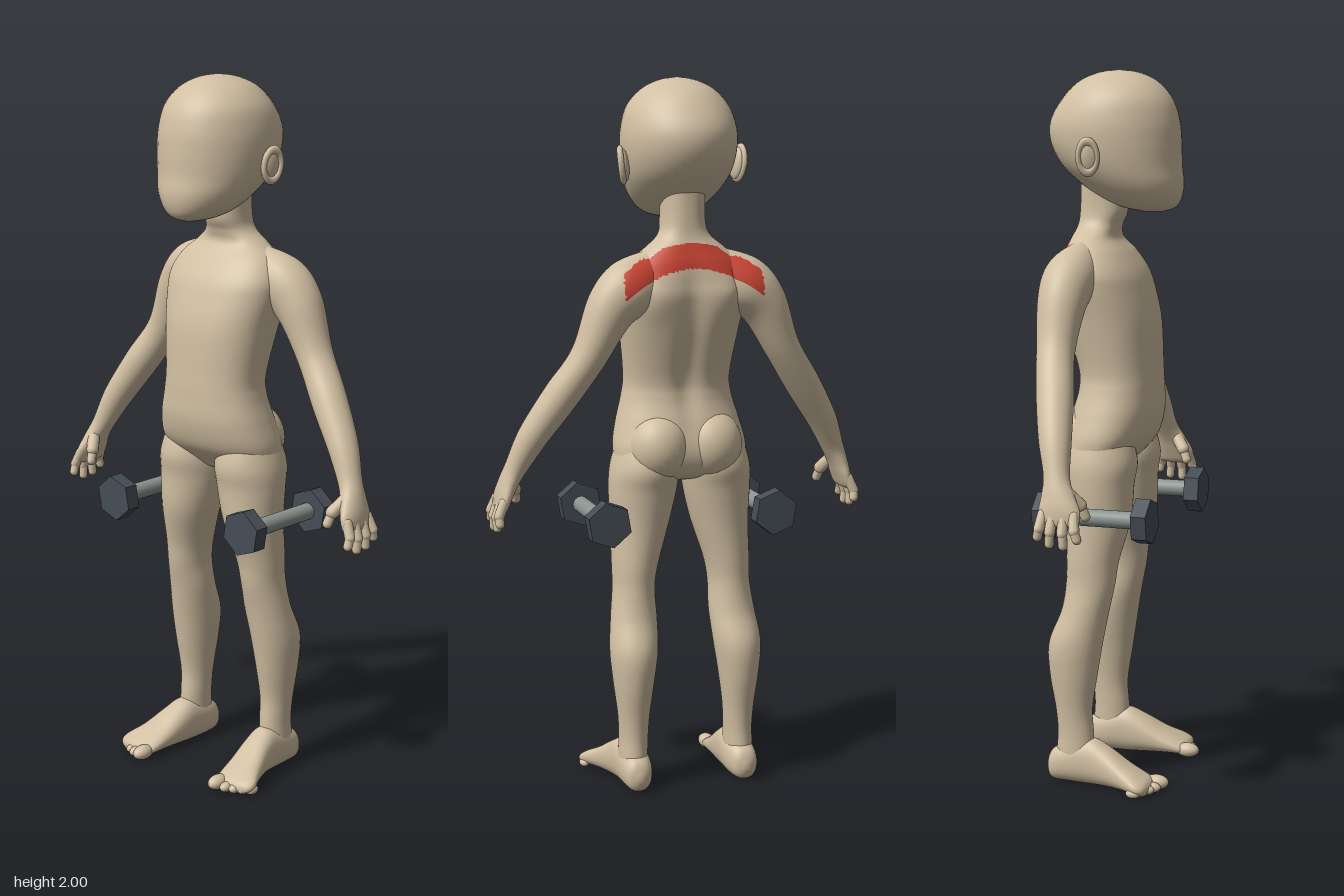
import * as THREE from 'three';

const flat = (name, color) => Object.assign(new THREE.MeshStandardMaterial({ color }), { name });
const skin = flat('skin', 0xd1bfa2);
const red = flat('redHighlight', 0xcb4433);
const steel = flat('handleGrey', 0x8a938f);
const iron = flat('weightSlate', 0x464d55);

// Smoothly resample rows of numbers
function resample(rows, steps) {
  const out = [], last = rows.length - 1;
  for (let i = 0; i <= last * steps; i++) {
    const k = Math.min(Math.floor(i / steps), last - 1), t = i / steps - k;
    const [p0, p1, p2, p3] = [-1, 0, 1, 2].map(o => rows[Math.min(last, Math.max(0, k + o))]);
    out.push(p1.map((b, c) => {
      const a = p0[c], d = p2[c], e = p3[c];
      return b + 0.5 * t * (d - a + t * (2 * a - 5 * b + 4 * d - e + t * (3 * (b - d) + e - a)));
    }));
  }
  return out;
}

// Loft of rings [x, y, z, halfWidth, halfDepth, tilt, pitch] (degrees), closed at both ends
function loft(rows, { steps = 6, seg = 36, power = 2, shape } = {}) {
  const rings = resample(rows.map(r => [...r, 0, 0].slice(0, 7)), steps);
  const pos = [], index = [], e = 2 / power, rad = Math.PI / 180;
  const pw = v => Math.sign(v) * Math.pow(Math.abs(v), e);
  for (const [x, y, z, a, b, tilt, pitch] of rings) {
    const t = tilt * rad, p = pitch * rad;
    for (let j = 0; j < seg; j++) {
      const ang = j / seg * Math.PI * 2, u = pw(Math.cos(ang)) * a, v = pw(Math.sin(ang)) * b;
      const pt = new THREE.Vector3(x + u * Math.cos(t), y + u * Math.sin(t) + v * Math.sin(p), z + v * Math.cos(p));
      if (shape) shape(pt, z);
      pos.push(pt.x, pt.y, pt.z);
    }
  }
  const n = rings.length, first = n * seg, end = first + 1;
  pos.push(...rings[0].slice(0, 3), ...rings[n - 1].slice(0, 3));
  for (let j = 0; j < seg; j++) {
    const k = (j + 1) % seg;
    for (let i = 0; i < n - 1; i++) {
      const a = i * seg + j, b = i * seg + k;
      index.push(a, b, a + seg, b, b + seg, a + seg);
    }
    index.push(first, k, j, end, (n - 1) * seg + j, (n - 1) * seg + k);
  }
  const g = new THREE.BufferGeometry();
  g.setAttribute('position', new THREE.Float32BufferAttribute(pos, 3));
  g.setIndex(index);
  g.computeVertexNormals();
  return g;
}

function mirror(geo) {
  const g = geo.clone().scale(-1, 1, 1);
  const ix = Array.from(g.index.array);
  for (let i = 0; i < ix.length; i += 3) [ix[i], ix[i + 1]] = [ix[i + 1], ix[i]];
  g.setIndex(ix);
  g.computeVertexNormals();
  return g;
}

// Arched band across the upper back goes in a second geometry group
function paintBack(g) {
  const p = g.attributes.position, ix = g.index.array, plain = [], band = [];
  for (let i = 0; i < ix.length; i += 3) {
    const tri = [ix[i], ix[i + 1], ix[i + 2]];
    const mid = f => tri.reduce((s, v) => s + f(v) / 3, 0);
    const x = mid(v => p.getX(v)), y = mid(v => p.getY(v)), z = mid(v => p.getZ(v));
    const inside = z < -0.11 && Math.abs(x) < 0.2 && y < 1.555 - 2 * x * x && y > 1.487 - 2.1 * x * x;
    (inside ? band : plain).push(...tri);
  }
  g.setIndex([...plain, ...band]);
  g.addGroup(0, plain.length, 0);
  g.addGroup(plain.length, band.length, 1);
  return g;
}

const ball = (x, y, z, rx, ry, rz) => new THREE.SphereGeometry(1, 28, 20).scale(rx, ry, rz).translate(x, y, z);

// Rounded segment between two points
function stick(a, b, r) {
  const A = new THREE.Vector3(...a), B = new THREE.Vector3(...b), d = B.clone().sub(A);
  const q = new THREE.Quaternion().setFromUnitVectors(new THREE.Vector3(0, 1, 0), d.clone().normalize());
  const m = A.add(B).multiplyScalar(0.5);
  return new THREE.CapsuleGeometry(r, d.length(), 6, 14).applyQuaternion(q).translate(m.x, m.y, m.z);
}

export function createModel() {
  const model = new THREE.Group();
  model.name = 'figure';
  const add = (name, geo, mat = skin) => {
    const m = new THREE.Mesh(geo, mat);
    m.name = name;
    model.add(m);
  };
  const pair = (name, geo) => {
    add(name + 'Left', geo);
    add(name + 'Right', mirror(geo));
  };

  // Head
  add('head', loft([
    [0, 2.0, 0, 0.004, 0.004], [0, 1.992, 0, 0.05, 0.058], [0, 1.967, -0.002, 0.1, 0.112],
    [0, 1.92, -0.004, 0.141, 0.155], [0, 1.86, -0.011, 0.158, 0.182], [0, 1.8, -0.007, 0.159, 0.184],
    [0, 1.74, 0.01, 0.149, 0.169], [0, 1.69, 0.04, 0.128, 0.145], [0, 1.65, 0.066, 0.098, 0.113],
    [0, 1.625, 0.088, 0.062, 0.075], [0, 1.613, 0.1, 0.02, 0.03],
  ], { seg: 48 }));

  // Ears
  pair('ear', ball(0, 0, 0, 0.014, 0.046, 0.028).rotateZ(-0.12).rotateY(-0.3).translate(0.163, 1.765, -0.03));
  pair('earRim', new THREE.TorusGeometry(0.03, 0.009, 10, 28).scale(0.85, 1.4, 1).rotateY(Math.PI / 2 - 0.35)
    .rotateZ(-0.12).translate(0.17, 1.765, -0.032));

  // Torso with neck, spine groove and shoulder blades
  const bump = (v, c, w) => Math.exp(-(((v - c) / w) ** 2));
  const torso = loft([
    [0, 1.72, -0.043, 0.062, 0.062], [0, 1.62, -0.043, 0.061, 0.066], [0, 1.575, -0.054, 0.072, 0.06],
    [0, 1.54, -0.062, 0.112, 0.064], [0, 1.5, -0.053, 0.158, 0.088], [0, 1.45, -0.04, 0.182, 0.109],
    [0, 1.4, -0.032, 0.182, 0.121], [0, 1.31, -0.015, 0.168, 0.127], [0, 1.18, 0.008, 0.152, 0.112],
    [0, 1.12, 0.01, 0.158, 0.112], [0, 1.05, 0, 0.177, 0.12], [0, 0.98, -0.018, 0.192, 0.116],
    [0, 0.93, -0.035, 0.18, 0.09], [0, 0.9, -0.04, 0.11, 0.06], [0, 0.885, -0.04, 0.02, 0.02],
  ], {
    seg: 112, steps: 9, power: 2.3,
    shape: (p, cz) => {
      if (p.z > cz) return;
      const back = Math.min(1, (cz - p.z) / 0.06);
      p.z += back * (0.018 * bump(p.x, 0, 0.035) * bump(p.y, 1.25, 0.2)
        - 0.018 * bump(Math.abs(p.x), 0.11, 0.06) * bump(p.y, 1.41, 0.07));
    },
  });
  add('torso', paintBack(torso), [skin, red]);
  pair('buttock', ball(0.078, 0.985, -0.065, 0.088, 0.098, 0.088));

  // Arms down to the palms
  const arm = loft([
    [0.08, 1.47, -0.07, 0.072, 0.055, 65], [0.16, 1.435, -0.082, 0.083, 0.074, 52],
    [0.225, 1.375, -0.087, 0.069, 0.067, 38], [0.285, 1.25, -0.083, 0.05, 0.053, 30],
    [0.358, 1.14, -0.058, 0.049, 0.052, 34], [0.43, 1.03, -0.032, 0.042, 0.045, 32],
    [0.472, 0.945, -0.012, 0.032, 0.036, 22], [0.493, 0.9, 0, 0.027, 0.045, 15],
    [0.507, 0.86, 0.008, 0.023, 0.057, 12], [0.515, 0.828, 0.01, 0.016, 0.054, 10],
    [0.518, 0.818, 0.01, 0.006, 0.035, 10],
  ], { seg: 56, steps: 9 });
  const armRight = paintBack(mirror(arm));
  add('armLeft', paintBack(arm), [skin, red]);
  add('armRight', armRight, [skin, red]);

  // Fingers and thumbs
  [[0.05, 0.064, 0.79], [0.022, 0.026, 0.772], [-0.008, -0.012, 0.775], [-0.035, -0.045, 0.792]].forEach(([z0, z1, tip], i) => {
    const knuckle = [0.53, (0.835 + tip) / 2, (z0 + z1) / 2];
    pair('fingerBase' + (i + 1), stick([0.514, 0.85, z0], knuckle, 0.0145));
    pair('fingerTip' + (i + 1), stick(knuckle, [0.529, tip, z1], 0.0125));
  });
  pair('thumbBase', stick([0.486, 0.905, 0.02], [0.462, 0.868, 0.05], 0.018));
  pair('thumbTip', stick([0.462, 0.868, 0.05], [0.456, 0.838, 0.062], 0.0135));

  // Legs
  pair('leg', loft([
    [0.1, 1.02, -0.02, 0.075, 0.08], [0.105, 0.93, -0.022, 0.097, 0.108], [0.11, 0.86, -0.02, 0.097, 0.098],
    [0.12, 0.76, -0.018, 0.083, 0.09], [0.137, 0.65, -0.03, 0.066, 0.075], [0.143, 0.58, -0.035, 0.06, 0.07],
    [0.147, 0.5, -0.05, 0.066, 0.068], [0.155, 0.41, -0.075, 0.068, 0.077], [0.158, 0.32, -0.081, 0.058, 0.069],
    [0.158, 0.22, -0.08, 0.045, 0.053], [0.158, 0.15, -0.075, 0.041, 0.052], [0.16, 0.08, -0.075, 0.04, 0.055],
    [0.16, 0.03, -0.075, 0.03, 0.04],
  ]));

  // Feet, heel to ball, then toes
  pair('foot', loft([
    [0.16, 0.05, -0.157, 0.008, 0.01], [0.16, 0.053, -0.142, 0.034, 0.042], [0.158, 0.062, -0.1, 0.045, 0.056],
    [0.16, 0.07, -0.03, 0.046, 0.066], [0.166, 0.061, 0.02, 0.05, 0.056], [0.179, 0.043, 0.08, 0.058, 0.037],
    [0.192, 0.031, 0.125, 0.066, 0.025], [0.192, 0.024, 0.15, 0.058, 0.018], [0.19, 0.022, 0.16, 0.03, 0.008],
  ].map(r => [...r, 0, 90]), { power: 2.3 }));
  [[0.15, 0.163, 0.023], [0.181, 0.16, 0.016], [0.205, 0.15, 0.015], [0.227, 0.138, 0.014], [0.246, 0.124, 0.014]]
    .forEach(([x, z, r], i) => pair('toe' + (i + 1), ball(x, r * 0.9 + 0.004, z, r, r * 0.9, r * 1.5)));

  // Dumbbells
  for (const s of [1, -1]) {
    const bell = new THREE.Group();
    bell.name = s > 0 ? 'dumbbellLeft' : 'dumbbellRight';
    bell.position.set(s * 0.245, 0.79, 0.014);
    const handle = new THREE.Mesh(new THREE.CylinderGeometry(0.024, 0.024, 0.26, 24).rotateX(Math.PI / 2), steel);
    handle.name = 'handle';
    bell.add(handle);
    for (const end of [1, -1]) {
      const hex = new THREE.CylinderGeometry(0.065, 0.065, 0.043, 6).rotateX(Math.PI / 2).rotateZ(-s * 0.17).toNonIndexed();
      hex.computeVertexNormals();
      const head = new THREE.Mesh(hex, iron);
      head.name = end > 0 ? 'frontWeight' : 'backWeight';
      head.position.z = end * 0.142;
      bell.add(head);
    }
    model.add(bell);
  }
  return model;
}
